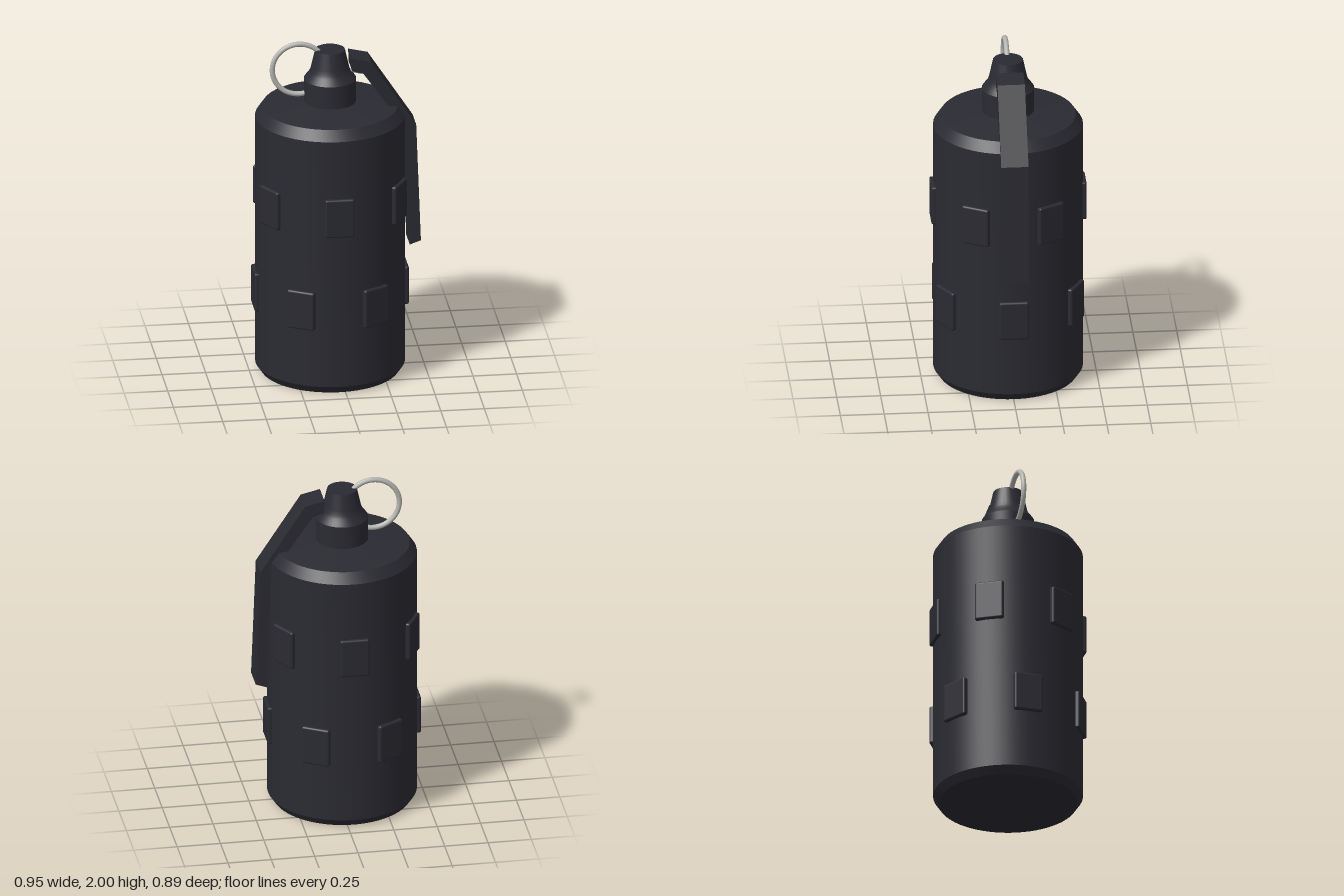
import * as THREE from 'three';
import { toCreasedNormals } from 'three/addons/utils/BufferGeometryUtils.js';
import { RoundedBoxGeometry } from 'three/addons/geometries/RoundedBoxGeometry.js';

const AXIS_X = -0.037; // the canister sits left of the lever

export function createModel() {
  const model = new THREE.Group();
  const darkCasing = new THREE.MeshStandardMaterial({ color: 0x2a2a32 });
  const steel = new THREE.MeshStandardMaterial({ color: 0xb4b4b0 });
  darkCasing.name = 'dark casing';
  steel.name = 'steel';

  const add = (name, geometry, material, parent = model) => {
    const mesh = new THREE.Mesh(geometry, material);
    mesh.name = name;
    parent.add(mesh);
    return mesh;
  };
  const lathe = (profile) => toCreasedNormals(
    new THREE.LatheGeometry(profile.map(([r, y]) => new THREE.Vector2(r, y)), 64), 0.42);

  // Canister with chamfered rims and a shallow conical lid
  add('body', lathe([
    [0, 0], [0.395, 0], [0.426, 0.045], [0.426, 1.545], [0.385, 1.605], [0.14, 1.635],
  ]), darkCasing).position.x = AXIS_X;

  // Neck tapering above a straight collar
  add('neck', lathe([
    [0.149, 1.6], [0.149, 1.77], [0.137, 1.787], [0.122, 1.806], [0.112, 1.825],
    [0.106, 1.85], [0.085, 1.945], [0, 1.945],
  ]), darkCasing).position.x = AXIS_X;

  // Two staggered rows of six grip pads
  const padGeometry = new RoundedBoxGeometry(0.168, 0.232, 0.06, 3, 0.012);
  const pads = new THREE.Group();
  pads.name = 'gripPads';
  pads.position.x = AXIS_X;
  model.add(pads);
  for (const [y, offset] of [[1.079, 0], [0.506, Math.PI / 6]]) {
    for (let i = 0; i < 6; i++) {
      const angle = offset + i * Math.PI / 3;
      const pad = add('gripPad', padGeometry, darkCasing, pads);
      pad.position.set(Math.sin(angle) * 0.413, y, Math.cos(angle) * 0.413);
      pad.rotation.y = angle;
    }
  }

  // Bent safety lever running down the left side
  const leverShape = new THREE.Shape([
    [0.077, 1.912], [0.08, 1.835], [0.145, 1.815], [0.385, 1.47], [0.41, 0.755],
    [0.474, 0.778], [0.447, 1.489], [0.188, 1.886],
  ].map(([x, y]) => new THREE.Vector2(x, y)));
  const leverGeometry = new THREE.ExtrudeGeometry(leverShape, { depth: 0.156, bevelEnabled: false });
  leverGeometry.translate(0, 0, -0.078);
  add('safetyLever', leverGeometry, darkCasing);

  // Pull ring and the pin through the neck
  add('pullRing', new THREE.TorusGeometry(0.152, 0.015, 12, 64), steel).position.set(-0.216, 1.833, 0);
  const pinPath = new THREE.CatmullRomCurve3([
    new THREE.Vector3(-0.07, 1.82, 0), new THREE.Vector3(0.03, 1.815, 0),
    new THREE.Vector3(0.1, 1.808, 0), new THREE.Vector3(0.14, 1.797, 0),
  ]);
  add('pin', new THREE.TubeGeometry(pinPath, 16, 0.012, 10), steel);

  return model;
}
